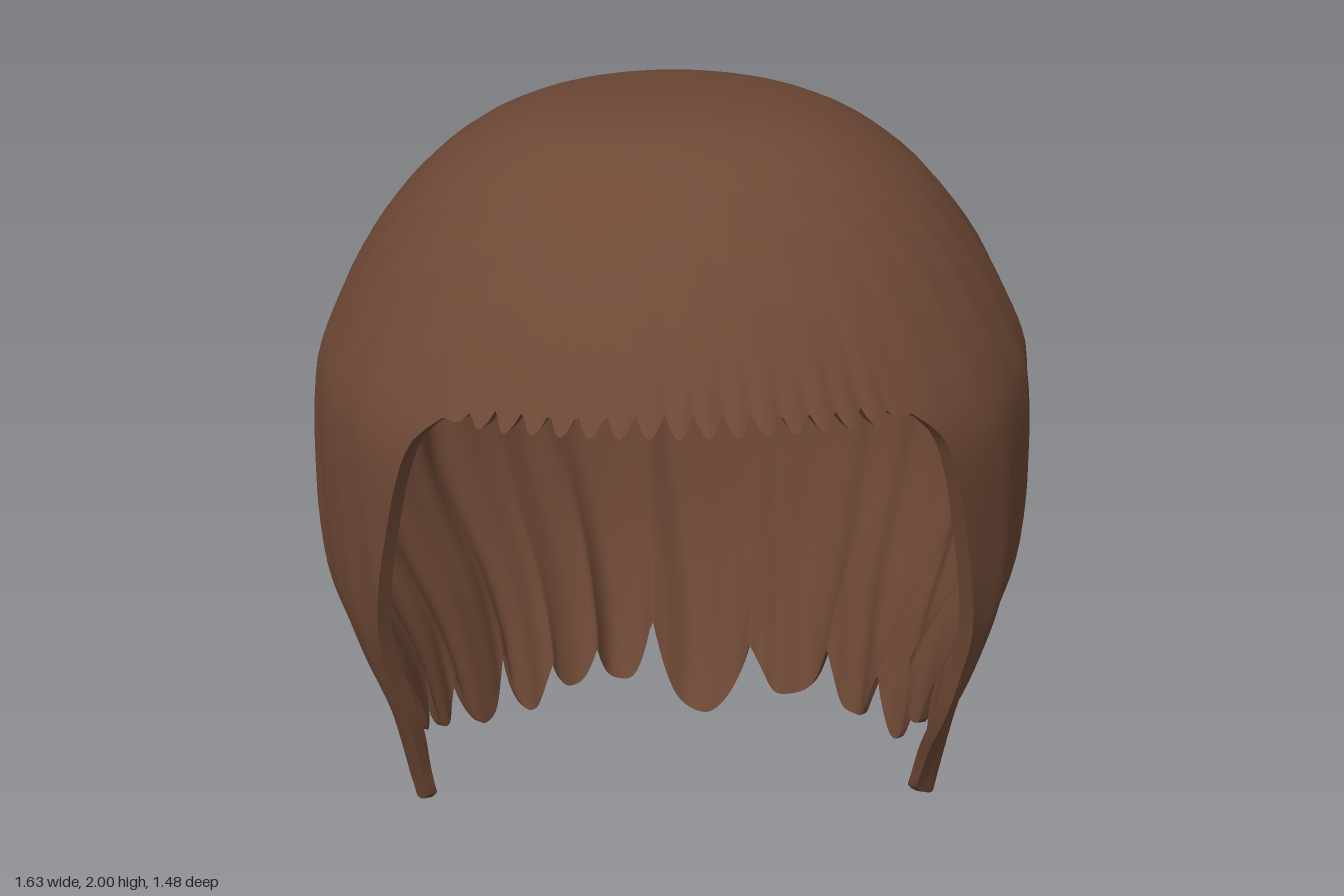
import * as THREE from 'three';

// Hair outline by height: y, half width, front z, back z, centre z
const PROFILE = [
  [2, 0, 0.2, 0.2, 0.2], [1.97, 0.27, 0.34, -0.08, 0.14], [1.9, 0.43, 0.455, -0.35, 0.08],
  [1.8, 0.55, 0.56, -0.48, 0.04], [1.7, 0.63, 0.64, -0.56, 0.02], [1.6, 0.695, 0.705, -0.615, 0],
  [1.5, 0.745, 0.76, -0.655, 0], [1.45, 0.768, 0.77, -0.685, 0], [1.38, 0.79, 0.775, -0.728, 0],
  [1.2, 0.805, 0.76, -0.738, 0], [0.9, 0.8, 0.74, -0.722, 0], [0.7, 0.755, 0.71, -0.71, 0],
  [0.5, 0.69, 0.69, -0.68, 0], [0.3, 0.65, 0.68, -0.63, 0], [0.1, 0.62, 0.66, -0.57, 0], [0, 0.6, 0.65, -0.53, 0],
];
// Face opening: height, angle of the side panels' front edge (0 is straight ahead)
const OPENING = [[1.52, 0.7], [1.45, 0.78], [1.38, 0.81], [1.2, 0.865], [0.9, 0.96], [0.6, 1.06], [0.3, 1.22], [0, 1.25]];
// Hem locks, from the left edge round the back: end angle, tip height, notch height at the end
const LOCKS = [
  [1.62, 0.22, 0.46], [1.84, 0.26, 0.42], [2.05, 0.12, 0.29], [2.39, 0.11, 0.26], [2.77, 0.09, 0.21],
  [3.22, 0, 0.27], [3.48, 0.08, 0.21], [3.7, 0.1, 0.2], [3.92, 0.07, 0.28], [4.25, 0.11, 0.3],
  [4.46, 0.18, 0.42], [4.67, 0.26, 0.46], [5.07, 0.22, 0.3],
];
const A0 = OPENING[0][1], FRONT = 104, REST = 260, COLS = FRONT + REST, CAP = 18, ROWS = 54;
const { clamp, lerp } = THREE.MathUtils;

// Smooth interpolation in a table ordered by falling height
function sample(table, y, col) {
  const key = (r) => Math.sqrt(Math.max(0, 2 - r[0])), w = Math.sqrt(Math.max(0, 2 - y));
  let i = 0;
  while (i < table.length - 2 && y < table[i + 1][0]) i++;
  const a = table[i], b = table[i + 1], h = key(b) - key(a), t = clamp((w - key(a)) / h, 0, 1);
  const slope = (k) => {
    const p = table[Math.max(0, k - 1)], n = table[Math.min(table.length - 1, k + 1)];
    return (n[col] - p[col]) / (key(n) - key(p));
  };
  const t2 = t * t, t3 = t2 * t;
  return (2 * t3 - 3 * t2 + 1) * a[col] + (t3 - 2 * t2 + t) * h * slope(i)
    + (3 * t2 - 2 * t3) * b[col] + (t3 - t2) * h * slope(i + 1);
}

// Height of the hem at an angle, and how close that angle is to a notch
function lockAt(a) {
  let start = 1.22, notch = 0.3;
  for (const [end, tip, next] of LOCKS) {
    if (a <= end) {
      const s = clamp(2 * (a - start) / (end - start) - 1, -1, 1);
      return { hem: tip + ((s < 0 ? notch : next) - tip) * Math.abs(s) ** 2.6, cleft: s ** 4 };
    }
    start = end;
    notch = next;
  }
  return { hem: 0.3, cleft: 1 };
}

// Columns below the cap slide back so that they follow the face opening
const slide = (a, y) => Math.PI + (a - Math.PI) * (Math.PI - sample(OPENING, Math.min(y, 1.52), 1)) / (Math.PI - A0);

// Point on the outer (inner = 0) or inner (inner = 1) surface
function hairPoint(i, j, inner) {
  const front = j <= FRONT;
  const base = front ? -A0 + 2 * A0 * j / FRONT : A0 + (2 * Math.PI - 2 * A0) * (j - FRONT) / REST;
  const tooth = Math.abs(Math.sin(Math.PI * 17 * j / FRONT));
  const edgeFade = clamp((A0 - Math.abs(base)) / 0.15, 0, 1);
  const capEnd = front ? 1.515 + 0.05 * (1 - (base / A0) ** 2) + edgeFade * (0.025 - 0.042 * tooth) : 1.515;

  let y, a = base, cleft = 0;
  if (i <= CAP) {
    y = 2 - (2 - capEnd) * (i / CAP) ** 2;
  } else {
    const around = front && j === 0 ? base + 2 * Math.PI : base;
    const lock = lockAt(slide(around, 0.3));
    y = lerp(capEnd, lock.hem, (i - CAP) / (ROWS - CAP));
    a = slide(around, y);
    cleft = lock.cleft;
  }
  // Wavy strands, strongest at the back and low down
  const b = a + 0.05 * Math.sin(4 * y + 1);
  const back = clamp((0.85 - Math.cos(a)) / 1.1, 0, 1), low = clamp((1.65 - y) / 0.6, 0, 1);
  const wave = Math.sin(13 * b + 1) + 0.7 * Math.sin(22 * b + 2 + y) + 0.4 * Math.sin(37 * b);
  let push = 0.011 * back * low * wave + 0.0015 * Math.sin(34 * a) * clamp((2 - y) / 0.3, 0, 1) * (1 - low);
  push -= 0.03 * cleft * clamp((0.8 - y) / 0.6, 0, 1);
  if (front && i <= CAP) push -= 0.008 * edgeFade * (1 - tooth) * (i / CAP) ** 10;

  const thick = inner * lerp(0.014, 0.035, clamp((y - 0.1) / 0.6, 0, 1));
  const grow = push - thick;
  const cz = sample(PROFILE, y, 4);
  const depth = Math.cos(a) > 0 ? sample(PROFILE, y, 2) - cz : cz - sample(PROFILE, y, 3);
  const size = (r) => (i === 0 ? 0 : Math.max(0, r + grow));
  const drop = thick * Math.max(0, 1 - Math.sqrt(2 - y) / 0.65);
  return [size(sample(PROFILE, y, 1)) * Math.sin(a), y - drop, cz + size(depth) * Math.cos(a)];
}

function makeGeometry(points, index) {
  const g = new THREE.BufferGeometry();
  g.setAttribute('position', new THREE.Float32BufferAttribute(points.flat(), 3));
  g.setIndex(index);
  g.computeVertexNormals();
  return g;
}

// Dome plus hanging curtain, leaving the face open
function shellGeometry(inner) {
  const points = [], index = [];
  for (let i = 0; i <= ROWS; i++) {
    for (let j = 0; j < COLS; j++) points.push(hairPoint(i, j, inner));
  }
  for (let i = 0; i < ROWS; i++) {
    for (let j = i < CAP ? 0 : FRONT; j < COLS; j++) {
      const k = (j + 1) % COLS;
      const p = i * COLS + j, q = p + COLS, r = (i + 1) * COLS + k, s = i * COLS + k;
      if (inner) index.push(p, r, q, p, s, r);
      else index.push(p, q, r, p, r, s);
    }
  }
  return makeGeometry(points, index);
}

// Narrow strip that closes the fringe, the opening and the hem
function rimGeometry() {
  const path = [], points = [], index = [];
  for (let j = 0; j < FRONT; j++) path.push([CAP, j]);
  for (let i = CAP; i < ROWS; i++) path.push([i, FRONT]);
  for (let j = FRONT; j < COLS; j++) path.push([ROWS, j]);
  for (let i = ROWS; i >= CAP; i--) path.push([i, 0]);
  path.forEach(([i, j], n) => {
    points.push(hairPoint(i, j, 0), hairPoint(i, j, 1));
    if (n) index.push(2 * n - 2, 2 * n - 1, 2 * n + 1, 2 * n - 2, 2 * n + 1, 2 * n);
  });
  return makeGeometry(points, index);
}

export function createModel() {
  const brown = new THREE.MeshStandardMaterial({ color: 0x6f4936, side: THREE.DoubleSide });
  brown.name = 'brown hair';
  const group = new THREE.Group();
  group.name = 'hair';
  const add = (name, geometry) => {
    const mesh = new THREE.Mesh(geometry, brown);
    mesh.name = name;
    group.add(mesh);
  };
  add('outerHair', shellGeometry(0));
  add('innerHair', shellGeometry(1));
  add('hairRim', rimGeometry());
  return group;
}
